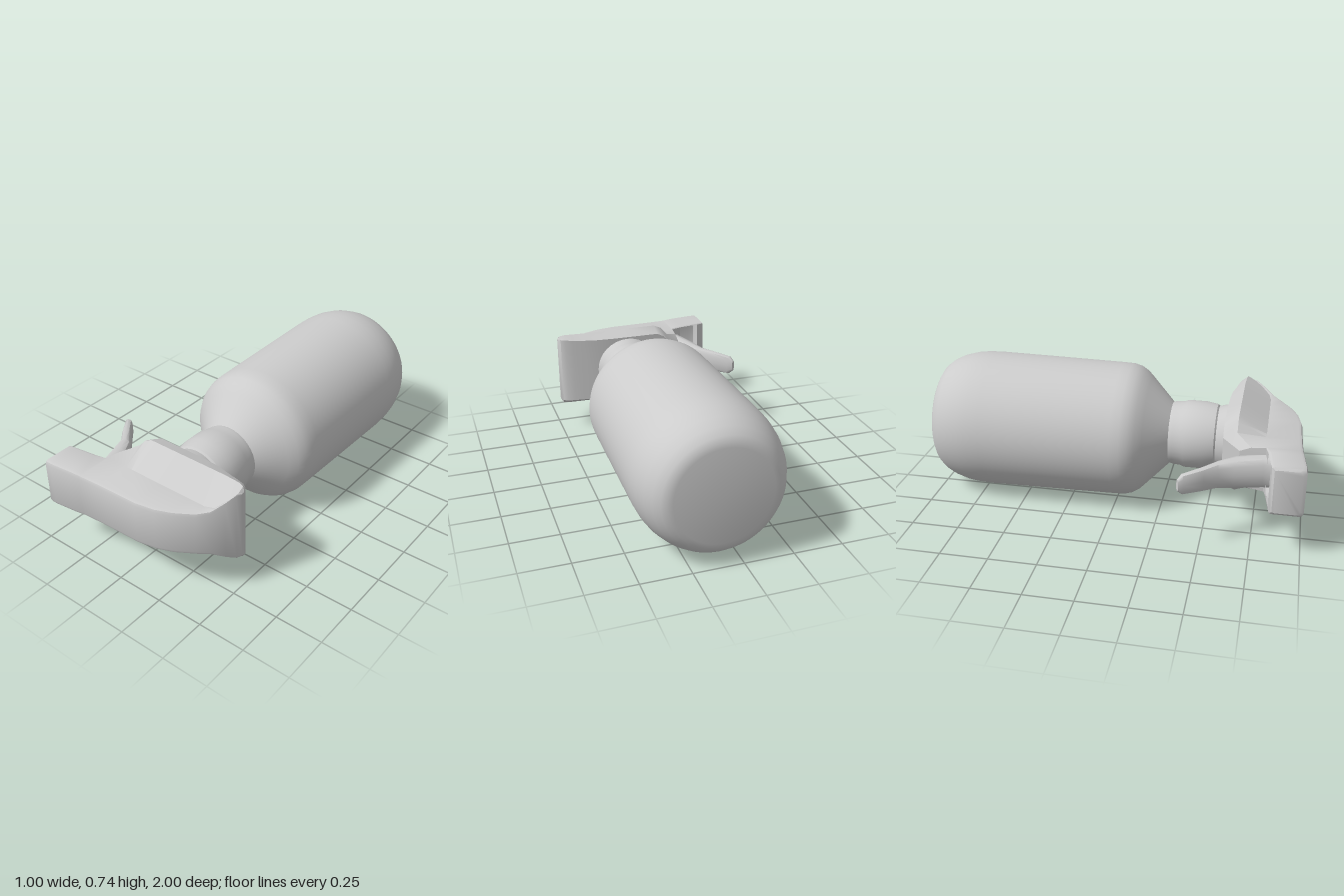
import * as THREE from 'three';
import { toCreasedNormals } from 'three/addons/utils/BufferGeometryUtils.js';

const CX = 0.103, CY = 0.371; // bottle axis, which runs along z

const material = new THREE.MeshStandardMaterial({ color: 0xcccccc });
const openMaterial = new THREE.MeshStandardMaterial({ color: 0xcccccc, side: THREE.DoubleSide });

function addMesh(parent, name, geometry, mat = material, crease = 0.55) {
  const mesh = new THREE.Mesh(toCreasedNormals(geometry, crease), mat);
  mesh.name = name;
  parent.add(mesh);
  return mesh;
}

// Turned part from [radius, z] pairs, laid along z
function turned(parent, name, profile, sides = 48) {
  const points = profile.map(([r, z]) => new THREE.Vector2(r, z));
  const geometry = new THREE.LatheGeometry(points, sides).rotateX(Math.PI / 2);
  return addMesh(parent, name, geometry.translate(CX, CY, 0));
}

// Skin over equal-length rings with capped ends; skip(i, j) leaves a quad open
function loft(rings, skip = () => false) {
  const n = rings[0].length, position = [], index = [];
  rings.flat().forEach((p) => position.push(...p));
  for (let i = 0; i < rings.length - 1; i++) {
    for (let j = 0; j < n; j++) {
      if (skip(i, j)) continue;
      const k = (j + 1) % n;
      const a = i * n + j, b = i * n + k, c = b + n, d = a + n;
      index.push(a, b, c, a, c, d);
    }
  }
  const last = (rings.length - 1) * n;
  for (let j = 1; j < n - 1; j++) {
    index.push(0, j + 1, j, last, last + j, last + j + 1);
  }
  const geometry = new THREE.BufferGeometry();
  geometry.setAttribute('position', new THREE.Float32BufferAttribute(position, 3));
  geometry.setIndex(index);
  return geometry;
}

// Spray head: slim barrel that flares into a wide shroud over the neck
function headGeometry() {
  // x, back z, back half-width, flare z, flare half-width, step z, spine half-width, front z
  const sections = [
    [-0.465, 0.845, 0.11, 0.85, 0.112, 0.86, 0.115, 0.98],
    [-0.455, 0.832, 0.12, 0.835, 0.124, 0.845, 0.127, 0.997],
    [-0.42, 0.825, 0.12, 0.828, 0.124, 0.838, 0.127, 0.998],
    [-0.3, 0.808, 0.12, 0.811, 0.123, 0.82, 0.126, 0.985],
    [-0.245, 0.795, 0.117, 0.797, 0.12, 0.8, 0.123, 0.979],
    [-0.24, 0.665, 0.09, 0.72, 0.113, 0.79, 0.122, 0.978],
    [-0.16, 0.575, 0.115, 0.645, 0.15, 0.79, 0.122, 0.973],
    [-0.12, 0.575, 0.165, 0.645, 0.195, 0.79, 0.122, 0.971],
    [-0.08, 0.575, 0.185, 0.645, 0.213, 0.79, 0.122, 0.97],
    [0.1, 0.575, 0.185, 0.645, 0.213, 0.79, 0.122, 0.965],
    [0.2, 0.577, 0.185, 0.645, 0.213, 0.79, 0.122, 0.947],
    [0.28, 0.582, 0.185, 0.645, 0.213, 0.79, 0.122, 0.915],
    [0.37, 0.6, 0.185, 0.645, 0.213, 0.79, 0.122, 0.86],
    [0.42, 0.61, 0.187, 0.648, 0.213, 0.78, 0.13, 0.812],
    [0.46, 0.622, 0.19, 0.65, 0.213, 0.735, 0.162, 0.756],
    [0.485, 0.637, 0.19, 0.655, 0.208, 0.69, 0.188, 0.707],
    [0.497, 0.655, 0.183, 0.662, 0.188, 0.67, 0.183, 0.678],
  ];
  const rings = sections.map(([x, zb, hb, zf, hf, zs, hs, zt]) => {
    const bevel = Math.min(0.02, (zt - zs) / 2);
    const half = [[hb, zb], [hf, zf], [hs, zs], [hs, zt - bevel],
      [hs - bevel * 0.3, zt - bevel * 0.3], [hs - bevel, zt]];
    const mirrored = half.map(([y, z]) => [-y, z]).reverse();
    return [...half, ...mirrored].map(([y, z]) => [x, CY + y, z]);
  });
  // The barrel is open underneath, just ahead of the trigger
  const backQuad = rings[0].length - 1;
  return loft(rings, (i, j) => j === backQuad && i === 2);
}

// Trigger: curved finger lever, thin at the tip and thick at the pivot
function triggerGeometry() {
  // outer x, outer z, inner x, inner z, half-width
  const sections = [
    [-0.5, 0.397, -0.483, 0.385, 0.03],
    [-0.494, 0.42, -0.455, 0.402, 0.054],
    [-0.43, 0.51, -0.385, 0.485, 0.062],
    [-0.375, 0.575, -0.305, 0.565, 0.07],
    [-0.352, 0.65, -0.245, 0.65, 0.08],
    [-0.305, 0.79, -0.2, 0.79, 0.085],
    [-0.3, 0.84, -0.2, 0.84, 0.085],
  ];
  const sides = 12;
  const soft = (v) => Math.sign(v) * Math.abs(v) ** 0.7;
  return loft(sections.map(([xo, zo, xi, zi, h]) => Array.from({ length: sides }, (_, j) => {
    const angle = (j / sides) * Math.PI * 2;
    const u = soft(Math.cos(angle)) / 2;
    return [(xo + xi) / 2 + u * (xi - xo), CY + h * soft(Math.sin(angle)), (zo + zi) / 2 + u * (zi - zo)];
  })));
}

export function createModel() {
  const model = new THREE.Group();
  model.name = 'sprayBottle';

  turned(model, 'bottle', [
    [0, -1], [0.24, -1], [0.265, -0.995], [0.29, -0.98], [0.318, -0.945], [0.342, -0.895],
    [0.36, -0.83], [0.368, -0.77], [0.37, -0.7], [0.366, -0.4], [0.36, 0], [0.358, 0.05],
    [0.347, 0.09], [0.325, 0.125], [0.29, 0.16], [0.17, 0.275], [0.155, 0.29], [0, 0.29],
  ], 64);

  turned(model, 'collar', [
    [0, 0.27], [0.165, 0.275], [0.171, 0.3], [0.174, 0.34], [0.182, 0.36],
    [0.182, 0.46], [0.172, 0.52], [0.16, 0.53], [0, 0.53],
  ], 32);

  turned(model, 'neck', [[0, 0.51], [0.158, 0.515], [0.165, 0.535], [0.182, 0.6], [0, 0.6]], 32);

  addMesh(model, 'sprayHead', headGeometry(), openMaterial);
  addMesh(model, 'trigger', triggerGeometry(), material, 0.8);
  return model;
}
